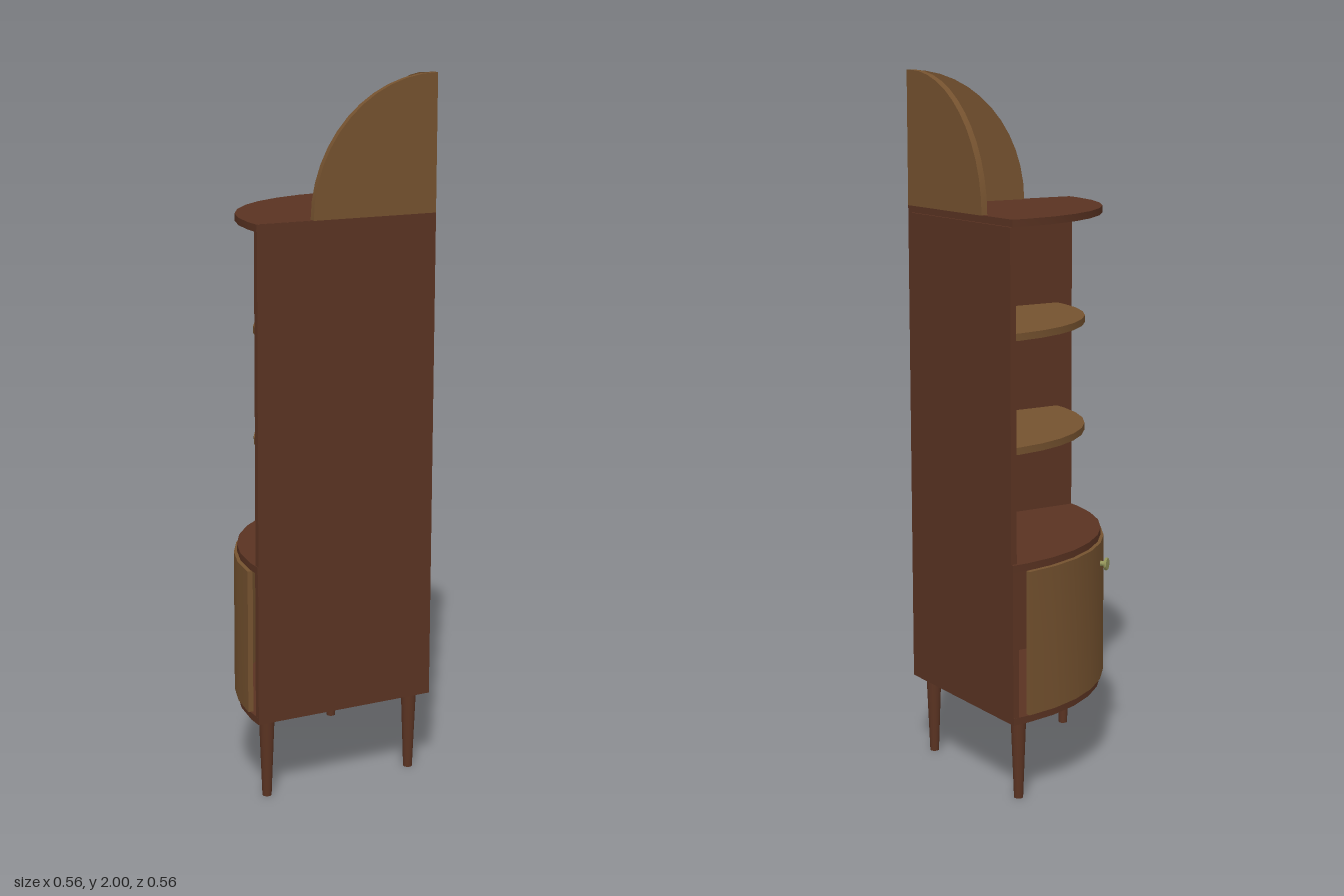
import * as THREE from 'three';
import { toCreasedNormals } from 'three/addons/utils/BufferGeometryUtils.js';

const CORNER = 0.275;   // the two walls meet at x = z = CORNER
const T = 0.018;        // board thickness
const dark = new THREE.MeshStandardMaterial({ color: 0x5a3322 });
const light = new THREE.MeshStandardMaterial({ color: 0x75522f });
const brass = new THREE.MeshStandardMaterial({ color: 0x93955a });

// points on an arc about the corner, running from the -x wall to the -z wall
function arc(r, degrees) {
  return degrees.map((d) => {
    const a = THREE.MathUtils.degToRad(d);
    return new THREE.Vector2(-r * Math.cos(a), r * Math.sin(a));
  });
}
const doorAngles = Array.from({ length: 9 }, (_, i) => 5 + 10 * i);
const plateAngles = [0, ...doorAngles, 90];

export function createModel() {
  const model = new THREE.Group();

  function add(name, geometry, material, x = 0, y = 0, z = 0) {
    const mesh = new THREE.Mesh(geometry, material);
    mesh.name = name;
    mesh.position.set(x, y, z);
    model.add(mesh);
    return mesh;
  }

  // flat outline raised upwards
  function raise(points, height) {
    const g = new THREE.ExtrudeGeometry(new THREE.Shape(points), { depth: height, bevelEnabled: false });
    g.rotateX(-Math.PI / 2);
    return toCreasedNormals(g, 0.5);
  }

  // quarter-round board whose top is at the given height
  function quarterBoard(name, r, top, material, inset) {
    const points = [new THREE.Vector2(0, 0), ...arc(r, plateAngles)];
    add(name, raise(points, 0.02), material, CORNER - inset, top - 0.02, CORNER - inset);
  }

  // box between two corners
  function board(name, x0, x1, y0, y1, z0, z1) {
    add(name, new THREE.BoxGeometry(x1 - x0, y1 - y0, z1 - z0), dark,
      (x0 + x1) / 2, (y0 + y1) / 2, (z0 + z1) / 2);
  }

  // walls, lower and upper sections
  board('lowerFrontWall', -0.275, CORNER, 0.23, 0.683, CORNER - T, CORNER);
  board('upperFrontWall', -0.274, CORNER, 0.683, 1.62, CORNER - T, CORNER);
  board('lowerSideWall', CORNER - T, CORNER, 0.23, 0.683, -0.275, CORNER - T);
  board('upperSideWall', CORNER - T, CORNER, 0.683, 1.6, -0.266, CORNER - T);

  // carcass boards and the two loose shelves
  quarterBoard('basePlate', 0.55, 0.25, dark, 0.001);
  quarterBoard('cabinetTop', 0.55, 0.684, dark, 0.001);
  quarterBoard('topPlate', 0.55, 1.621, dark, 0.001);
  quarterBoard('lowerShelf', 0.478, 0.995, light, T);
  quarterBoard('upperShelf', 0.478, 1.308, light, T);

  // curved door
  const doorOutline = [...arc(0.56, doorAngles), ...arc(0.545, [...doorAngles].reverse())];
  add('door', raise(doorOutline, 0.408), light, CORNER, 0.253, CORNER);

  // quarter-round back panels standing on the top
  function crest(r) {
    const shape = new THREE.Shape([new THREE.Vector2(0, 0),
      ...arc(r, Array.from({ length: 13 }, (_, i) => i * 7.5))]);
    return toCreasedNormals(
      new THREE.ExtrudeGeometry(shape, { depth: T, bevelEnabled: false }), 0.5);
  }
  add('frontCrest', crest(0.38), light, CORNER, 1.62, CORNER - T);
  add('sideCrest', crest(0.38), light, CORNER, 1.62, CORNER - T).rotation.y = -Math.PI / 2;

  // tapered legs
  for (const [x, z] of [[0.23, 0.235], [-0.23, 0.235], [0.23, -0.23]]) {
    add('leg', new THREE.CylinderGeometry(0.022, 0.013, 0.232, 16), dark, x, 0.116, z);
  }

  // turned knob, pointing out of the door
  const profile = [[0, -0.006], [0.009, -0.006], [0.007, 0.008], [0.008, 0.014], [0.018, 0.016],
    [0.019, 0.02], [0.017, 0.023], [0, 0.024]].map(([x, y]) => new THREE.Vector2(x, y));
  const knob = add('knob', toCreasedNormals(new THREE.LatheGeometry(profile, 20), 0.6), brass,
    -0.121, 0.6, -0.119);
  knob.quaternion.setFromUnitVectors(new THREE.Vector3(0, 1, 0),
    new THREE.Vector3(-0.61, 0, -0.79).normalize());

  return model;
}
